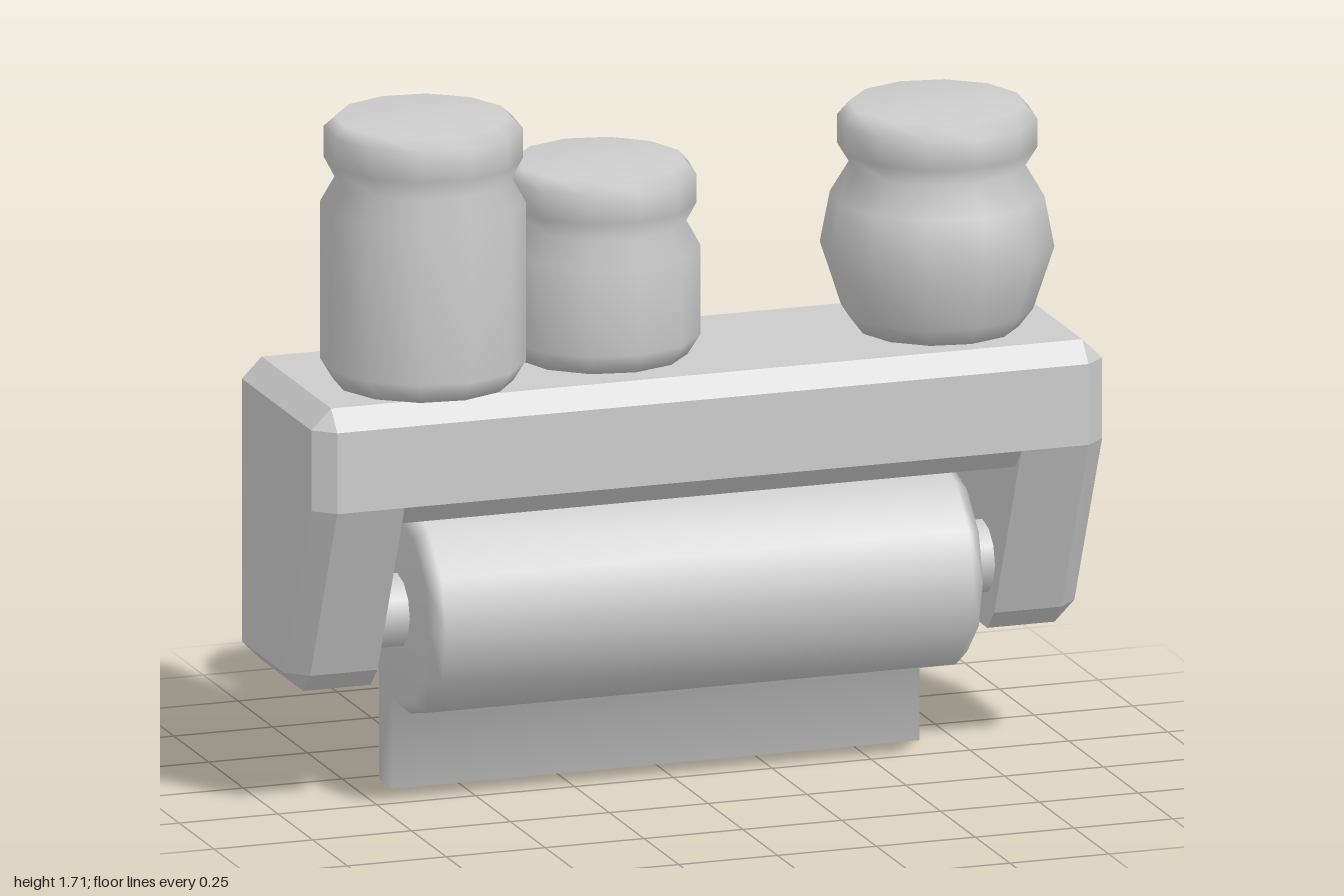
import * as THREE from 'three';

const grey = (flat = false) => new THREE.MeshStandardMaterial({ color: 0xcccccc, flatShading: flat });

// Joins equal-length [z, y] outlines along rising x and caps both ends.
// skip(section, side) leaves a quad open.
function loft(sections, skip = () => false) {
  const n = sections[0].outline.length;
  const pos = [], index = [];
  sections.forEach(({ x, outline }) => outline.forEach(([z, y]) => pos.push(x, y, z)));
  for (let s = 0; s < sections.length - 1; s++) {
    for (let i = 0; i < n; i++) {
      if (skip(s, i)) continue;
      const a = s * n + i, b = s * n + (i + 1) % n;
      index.push(a, b, b + n, a, b + n, a + n);
    }
  }
  [0, sections.length - 1].forEach((s, end) => {
    const { x, outline } = sections[s];
    const c = pos.length / 3;
    const mean = k => outline.reduce((t, p) => t + p[k], 0) / n;
    pos.push(x, mean(1), mean(0));
    for (let i = 0; i < n; i++) {
      const a = s * n + i, b = s * n + (i + 1) % n;
      if (end) index.push(c, a, b);
      else index.push(c, b, a);
    }
  });
  return { pos, index };
}

function toMesh({ pos, index }, name, flat) {
  let geo = new THREE.BufferGeometry();
  geo.setAttribute('position', new THREE.Float32BufferAttribute(pos, 3));
  geo.setIndex(index);
  if (flat) geo = geo.toNonIndexed();
  geo.computeVertexNormals();
  const mesh = new THREE.Mesh(geo, grey(flat));
  mesh.name = name;
  return mesh;
}

// Bevelled holder: two side arms and a shelf beam
function createHolder() {
  const holder = new THREE.Group();
  holder.name = 'holder';
  const arm = [[0.24, 1.06], [0.285, 1.01], [0.285, 0.81], [0.09, 0.36], [0.04, 0.31],
    [-0.26, 0.31], [-0.31, 0.36], [-0.31, 1.01], [-0.26, 1.06]];
  const face = [[0.24, 1.01], [0.24, 1.01], [0.24, 0.81], [0.04, 0.36], [0.04, 0.36],
    [-0.26, 0.36], [-0.26, 0.36], [-0.26, 1.01], [-0.26, 1.01]];
  const beam = [[0.24, 1.06], [0.285, 1.01], [0.285, 0.81], [0.24, 0.76],
    [-0.26, 0.76], [-0.31, 0.81], [-0.31, 1.01], [-0.26, 1.06]];

  const left = [{ x: 0.78, outline: arm }, { x: 0.95, outline: arm }, { x: 1, outline: face }];
  const right = left.map(s => ({ x: -s.x, outline: s.outline })).reverse();
  holder.add(
    toMesh(loft(left), 'leftArm', true),
    toMesh(loft(right), 'rightArm', true),
    toMesh(loft([{ x: -0.78, outline: beam }, { x: 0.78, outline: beam }]), 'shelf', true)
  );
  return holder;
}

// Paper roll with a hanging sheet drawn down from one of its facets
function createRoll() {
  const sides = 12, facet = 7, cy = 0.48, cz = 0.005;
  const ring = r => Array.from({ length: sides }, (_, i) => {
    const a = i / sides * Math.PI * 2;
    return [cz + r * Math.sin(a), cy + r * Math.cos(a)];
  });
  const data = loft([
    { x: -0.7, outline: ring(0.232) }, { x: -0.667, outline: ring(0.26) },
    { x: 0.667, outline: ring(0.26) }, { x: 0.7, outline: ring(0.232) }
  ], (s, i) => s === 1 && i === facet);

  const { pos, index } = data;
  const top = [sides + facet, sides + facet + 1, 2 * sides + facet + 1, 2 * sides + facet];
  const low = top.map(v => {
    pos.push(pos[v * 3], 0, pos[v * 3 + 2]);
    return pos.length / 3 - 1;
  });
  const quad = (a, b, c, d) => index.push(a, b, c, a, c, d);
  for (let i = 0; i < 4; i++) {
    const j = (i + 1) % 4;
    quad(top[i], top[j], low[j], low[i]);
  }
  quad(...low);
  return toMesh(data, 'paperRoll', false);
}

// Lidded jar turned from [radius, height] points
function createJar(name, x, z, profile, turn) {
  const points = profile.map(([r, y]) => new THREE.Vector2(r, y));
  const jar = new THREE.Mesh(new THREE.LatheGeometry(points, 12), grey());
  jar.name = name;
  jar.position.set(x, 1.06, z);
  jar.rotation.y = turn;
  return jar;
}

export function createModel() {
  const model = new THREE.Group();
  model.name = 'paperRollHolderWithJars';
  model.add(createHolder(), createRoll());

  // Spindle stubs between roll and arms
  for (const side of [-1, 1]) {
    const stub = new THREE.Mesh(new THREE.CylinderGeometry(0.09, 0.09, 0.12, 12, 1, true), grey());
    stub.name = side > 0 ? 'leftSpindle' : 'rightSpindle';
    stub.rotation.z = Math.PI / 2;
    stub.position.set(side * 0.735, 0.48, 0.005);
    model.add(stub);
  }

  // Jars on the shelf
  model.add(
    createJar('tallJar', -0.655, 0.063, [[0, 0], [0.215, 0], [0.246, 0.05], [0.246, 0.44],
      [0.212, 0.5], [0.238, 0.55], [0.238, 0.625], [0.21, 0.65], [0, 0.65]], 0.15),
    createJar('shortJar', -0.172, -0.038, [[0, 0], [0.21, 0], [0.241, 0.05], [0.241, 0.27],
      [0.207, 0.33], [0.231, 0.375], [0.231, 0.445], [0.205, 0.475], [0, 0.475]], 0.08),
    createJar('roundJar', 0.667, 0, [[0, 0], [0.195, 0], [0.23, 0.045], [0.281, 0.2],
      [0.257, 0.325], [0.212, 0.4], [0.24, 0.445], [0.24, 0.515], [0.21, 0.55], [0, 0.55]], 0.1)
  );
  return model;
}
